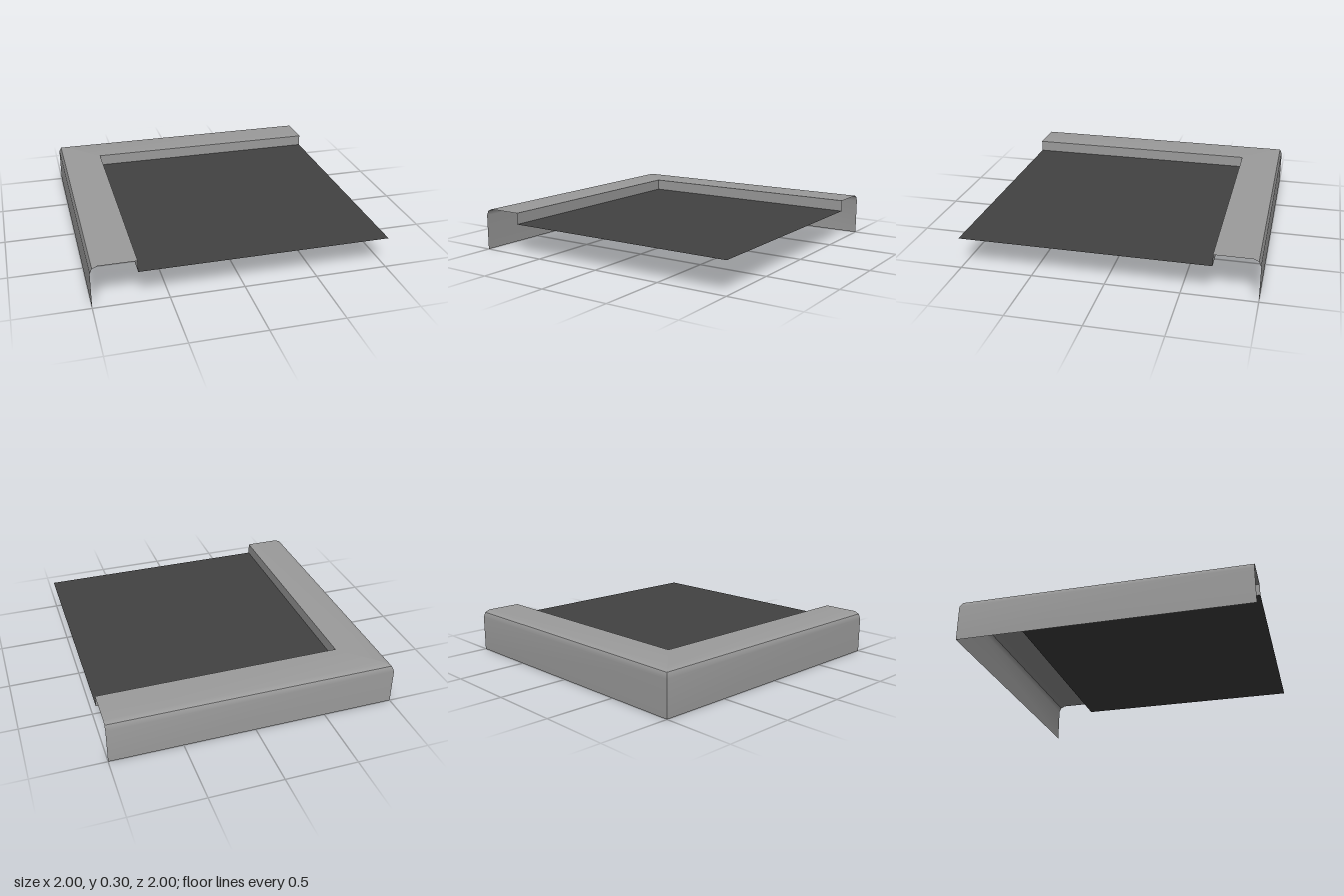
import * as THREE from 'three';

// Sweeps profile points [distance from centre, height] around the L-shaped kerb:
// one mitred strip per leg, smooth along the profile and sharp at the corner.
function kerbLeg(profile, leg) {
  const positions = [], index = [];
  for (const [d, y] of profile) {
    if (leg === 'side') positions.push(-d, y, 1, -d, y, -d);
    else positions.push(-d, y, -d, 1, y, -d);
  }
  for (let i = 0; i < profile.length - 1; i++) {
    const a = i * 2;
    index.push(a, a + 2, a + 1, a + 1, a + 2, a + 3);
  }
  const geometry = new THREE.BufferGeometry();
  geometry.setAttribute('position', new THREE.Float32BufferAttribute(positions, 3));
  geometry.setIndex(index);
  geometry.computeVertexNormals();
  return geometry;
}

export function createModel() {
  const model = new THREE.Group();
  model.name = 'cornerKerbTile';

  const concrete = new THREE.MeshStandardMaterial({ color: 0x9c9c9c, side: THREE.DoubleSide });
  concrete.name = 'light concrete';
  const asphalt = new THREE.MeshStandardMaterial({ color: 0x424242, side: THREE.DoubleSide });
  asphalt.name = 'dark asphalt';

  // Kerb surfaces, split where the edges are sharp
  const strips = {
    OuterWall: [[1, 0], [1, 0.25], [0.985, 0.285]],
    Top: [[0.985, 0.285], [0.95, 0.3], [0.7, 0.3]],
    InnerRiser: [[0.7, 0.3], [0.7, 0.22]],
  };
  for (const leg of ['side', 'back']) {
    const kerb = new THREE.Group();
    kerb.name = leg + 'Kerb';
    for (const [part, profile] of Object.entries(strips)) {
      const mesh = new THREE.Mesh(kerbLeg(profile, leg), concrete);
      mesh.name = leg + part;
      kerb.add(mesh);
    }
    model.add(kerb);
  }

  // Sunken paved surface, open underneath
  const paving = new THREE.Mesh(new THREE.PlaneGeometry(1.7, 1.7).rotateX(-Math.PI / 2), asphalt);
  paving.name = 'paving';
  paving.position.set(0.15, 0.22, 0.15);
  model.add(paving);

  return model;
}
